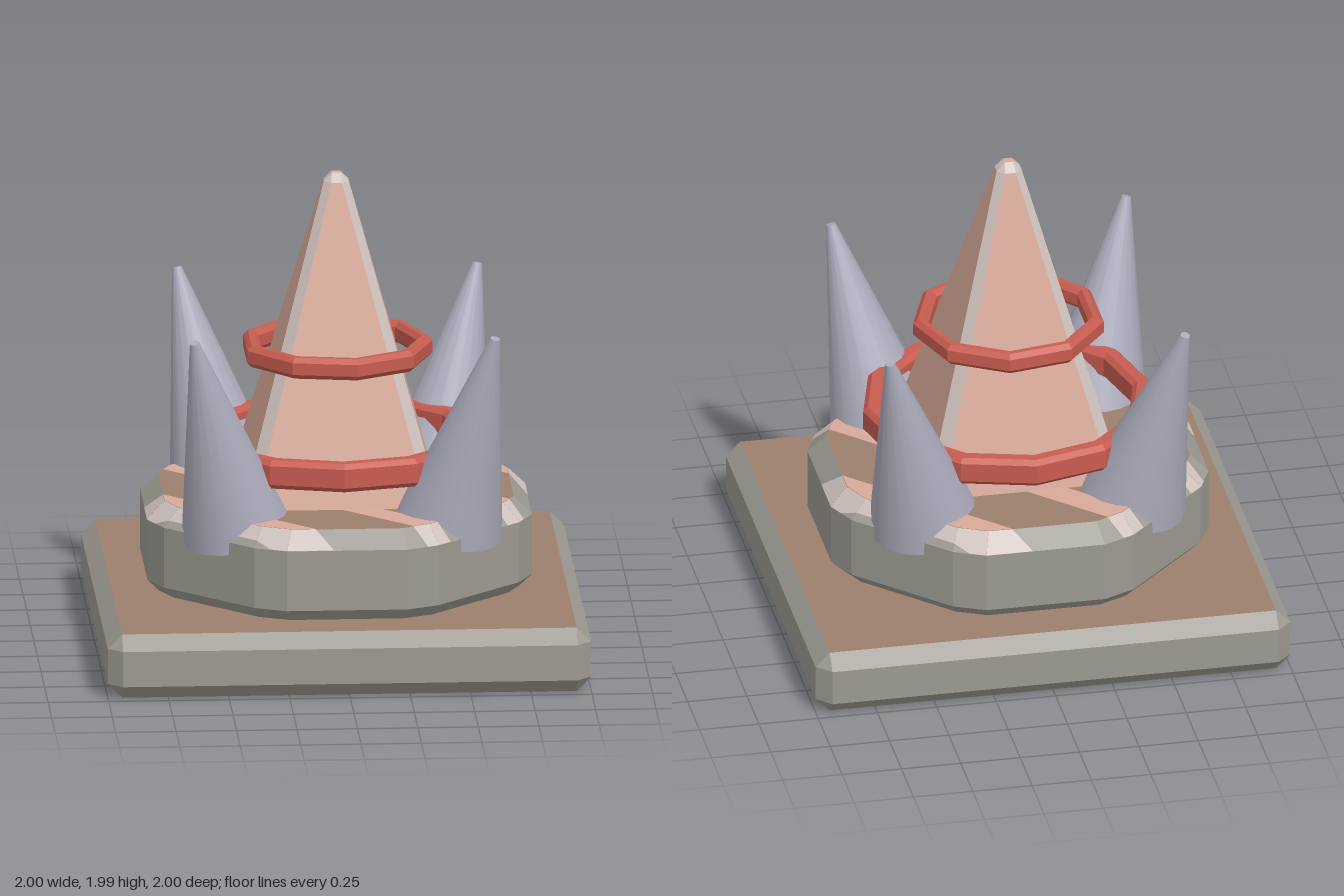
import * as THREE from 'three';

const material = (name, color, flatShading = true) => {
  const m = new THREE.MeshStandardMaterial({ color, flatShading });
  m.name = name;
  return m;
};

// Outline with fourfold symmetry, from the points of one quadrant
function outline(quadrant, y) {
  const ring = [];
  for (let k = 0; k < 4; k++) {
    for (const [px, pz] of quadrant) {
      let x = px, z = pz;
      for (let j = 0; j < k; j++) [x, z] = [-z, x];
      ring.push(new THREE.Vector3(x, y, z));
    }
  }
  return ring;
}

// Square with cut corners
const cutSquare = (h, c, y) => outline([[h, h - c], [h - c, h]], y);

// Polygons joining stacked rings, with a cap at each end
function loft(rings, sideMaterial, capMaterial) {
  const polygons = [];
  for (let r = 0; r + 1 < rings.length; r++) {
    const a = rings[r], b = rings[r + 1], n = a.length;
    for (let i = 0; i < n; i++) {
      const j = (i + 1) % n;
      polygons.push({ points: [a[j], a[i], b[i], b[j]], mat: sideMaterial(i), level: r });
    }
  }
  polygons.push({ points: rings[0], mat: capMaterial, level: -1 });
  polygons.push({ points: [...rings.at(-1)].reverse(), mat: capMaterial, level: rings.length - 1 });
  return polygons;
}

// Mesh from convex polygons, one geometry group per material
function polygonMesh(name, polygons) {
  const mats = [...new Set(polygons.map(p => p.mat))];
  const geometry = new THREE.BufferGeometry();
  const position = [];
  const tri = new THREE.Triangle();
  mats.forEach((mat, index) => {
    const start = position.length / 3;
    for (const { points } of polygons.filter(p => p.mat === mat)) {
      for (let i = 1; i + 1 < points.length; i++) {
        tri.set(points[0], points[i], points[i + 1]);
        if (tri.getArea() < 1e-7) continue;
        for (const p of [tri.a, tri.b, tri.c]) position.push(p.x, p.y, p.z);
      }
    }
    geometry.addGroup(start, position.length / 3 - start, index);
  });
  geometry.setAttribute('position', new THREE.Float32BufferAttribute(position, 3));
  geometry.computeVertexNormals();
  const mesh = new THREE.Mesh(geometry, mats);
  mesh.name = name;
  return mesh;
}

// Keep the part of a polygon where sign * (z - x) >= limit
function clip(points, sign, limit) {
  const out = [];
  points.forEach((p, i) => {
    const q = points[(i + 1) % points.length];
    const dp = sign * (p.z - p.x) - limit;
    const dq = sign * (q.z - q.x) - limit;
    if (dp >= 0) out.push(p);
    if (dp * dq < 0) out.push(p.clone().lerp(q, dp / (dp - dq)));
  });
  return out;
}

// Closed bevelled band swept around the y axis
function ring(name, radius, thickness, y0, y1, sides, mat) {
  const b = 0.02, inner = radius - thickness;
  const profile = [
    [radius - b, y0], [radius, y0 + b], [radius, y1 - b], [radius - b, y1],
    [inner + b, y1], [inner, y1 - b], [inner, y0 + b], [inner + b, y0], [radius - b, y0],
  ].map(p => new THREE.Vector2(...p));
  const mesh = new THREE.Mesh(new THREE.LatheGeometry(profile, sides, Math.PI / 2), mat);
  mesh.name = name;
  return mesh;
}

export function createModel() {
  const group = new THREE.Group();
  const stone = material('grey stone', 0x9c9a91);
  const brown = material('brown floor', 0x9c7f6d);
  const pink = material('pink clay', 0xd9aa9a);
  const pale = material('pale edge', 0xcfc2bd);
  const red = material('red band', 0xc85c50);
  const horn = material('grey violet spike', 0xabaaba, false);

  // Bevelled square base
  group.add(polygonMesh('baseSlab', loft([
    cutSquare(0.94, 0, 0), cutSquare(1, 0.06, 0.06),
    cutSquare(1, 0.06, 0.21), cutSquare(0.94, 0, 0.27),
  ], () => stone, brown)));

  // Plinth with rounded corners
  const corner = [[0.795, 0.25], [0.735, 0.38], [0.38, 0.735], [0.25, 0.795]];
  const plinthRing = (s, y) => outline(corner.map(p => p.map(v => v * s)), y);
  const plinth = loft([
    plinthRing(0.94, 0.27), plinthRing(1, 0.32), plinthRing(1, 0.575), plinthRing(0.908, 0.648),
  ], () => stone, brown);
  group.add(polygonMesh('plinth', plinth));

  // Diagonal stripes lying on the plinth top and its upper bevel
  const stripes = [];
  for (const sign of [-1, 1]) {
    for (const [from, to] of [[0.25, 0.42], [0.85, 1.08]]) {
      for (const { points, level } of plinth.filter(p => p.level >= 2)) {
        const piece = clip(clip(points, sign, from), -sign, -to);
        if (piece.length < 3) continue;
        const normal = new THREE.Triangle(points[0], points[1], points[2]).getNormal(new THREE.Vector3());
        stripes.push({
          points: piece.map(p => p.clone().addScaledVector(normal, 0.003)),
          mat: level === 3 ? pink : pale,
        });
      }
    }
  }
  group.add(polygonMesh('plinthStripes', stripes));

  // Tapering spire with cut edges
  group.add(polygonMesh('spire', loft([
    cutSquare(0.413, 0.05, 0.64), cutSquare(0.052, 0.03, 1.95),
  ], i => (i % 2 ? pink : pale), pink)));
  group.add(polygonMesh('spireCap', loft([
    cutSquare(0.052, 0.03, 1.95), cutSquare(0.018, 0, 1.985),
  ], () => pale, pink)));

  // Bands around the spire
  group.add(ring('lowerRing', 0.61, 0.085, 0.77, 0.89, 12, red));
  group.add(ring('upperRing', 0.4, 0.065, 1.19, 1.28, 9, red));

  // Four spikes leaning outwards
  for (const sx of [-1, 1]) {
    for (const sz of [-1, 1]) {
      const foot = new THREE.Vector3(sx * 0.44, 0.58, sz * 0.42);
      const tip = new THREE.Vector3(sx * 0.622, 1.425, sz * 0.62);
      const axis = tip.clone().sub(foot);
      const spike = new THREE.Mesh(new THREE.CylinderGeometry(0.02, 0.228, axis.length(), 20), horn);
      spike.position.copy(foot).lerp(tip, 0.5);
      spike.quaternion.setFromUnitVectors(new THREE.Vector3(0, 1, 0), axis.normalize());
      spike.name = 'cornerSpike';
      group.add(spike);
    }
  }
  return group;
}
